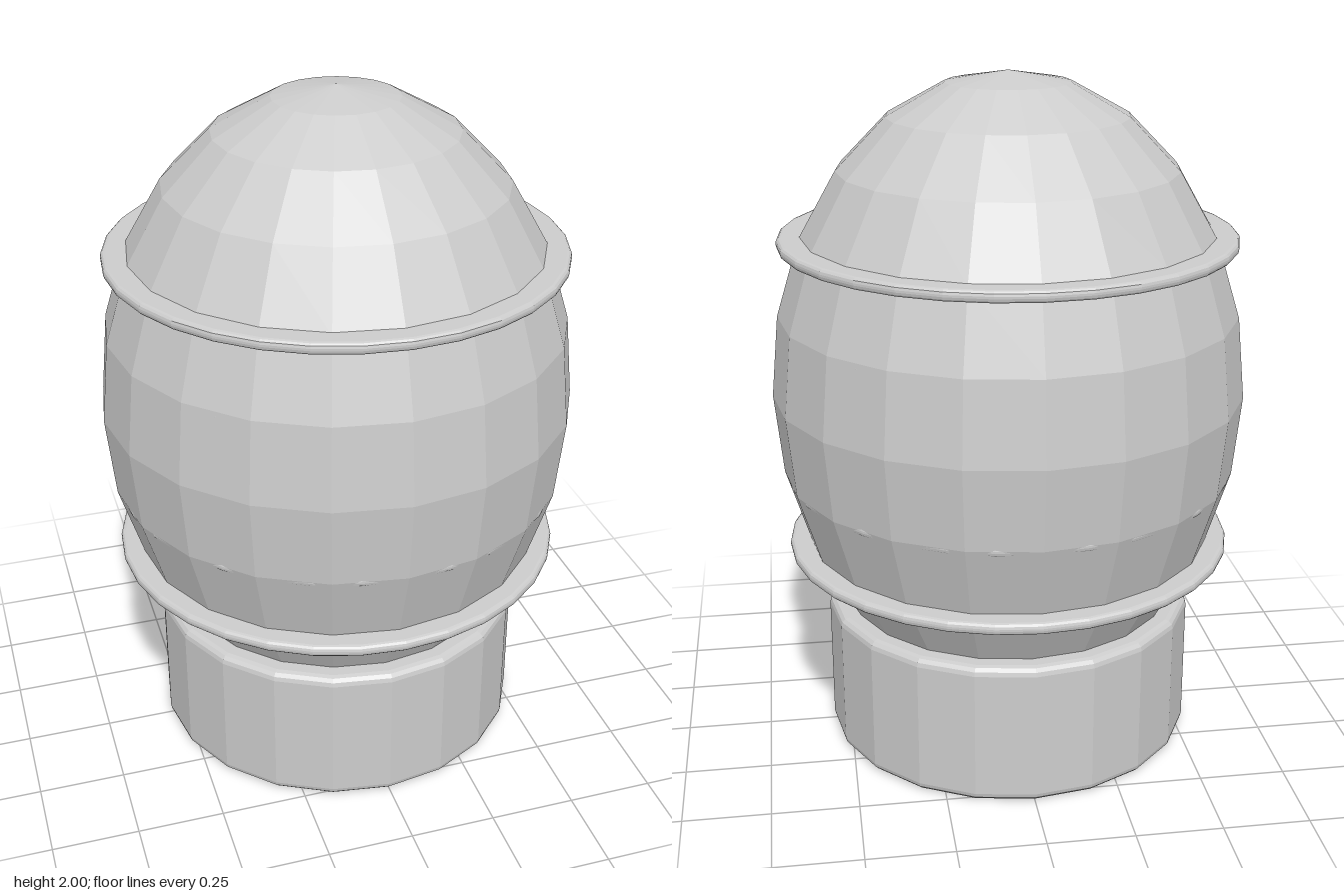
import * as THREE from 'three';

export function createModel() {
  const model = new THREE.Group();
  const grey = new THREE.MeshStandardMaterial({ color: 0xcccccc, flatShading: true });
  grey.name = 'light grey';

  function add(name, geometry, y) {
    const mesh = new THREE.Mesh(geometry, grey);
    mesh.name = name;
    mesh.position.y = y;
    model.add(mesh);
    return mesh;
  }

  // Solid disc with rounded rims, standing on y = 0
  function roundedDisc(radius, height, bevel, sides) {
    const points = [new THREE.Vector2(0, 0)];
    const steps = 3;
    for (const top of [false, true]) {
      for (let i = 0; i <= steps; i++) {
        const a = (i / steps + (top ? 0 : -1)) * Math.PI / 2;
        const centre = top ? height - bevel : bevel;
        points.push(new THREE.Vector2(
          radius - bevel + Math.cos(a) * bevel, centre + Math.sin(a) * bevel));
      }
    }
    points.push(new THREE.Vector2(0, height));
    return new THREE.LatheGeometry(points, sides);
  }

  // Round base
  add('base', roundedDisc(0.55, 0.43, 0.025, 20), 0);

  // Faceted egg-shaped body
  const body = new THREE.SphereGeometry(1, 20, 12);
  body.scale(0.69, 0.92, 0.69);
  add('body', body, 1.08);

  // Evenly spaced plates; the middle ones are mostly swallowed by the body
  for (let i = 0; i < 5; i++) {
    add('plate' + (i + 1), roundedDisc(0.66, 0.034, 0.014, 32), 0.593 + i * 0.23);
  }

  return model;
}
